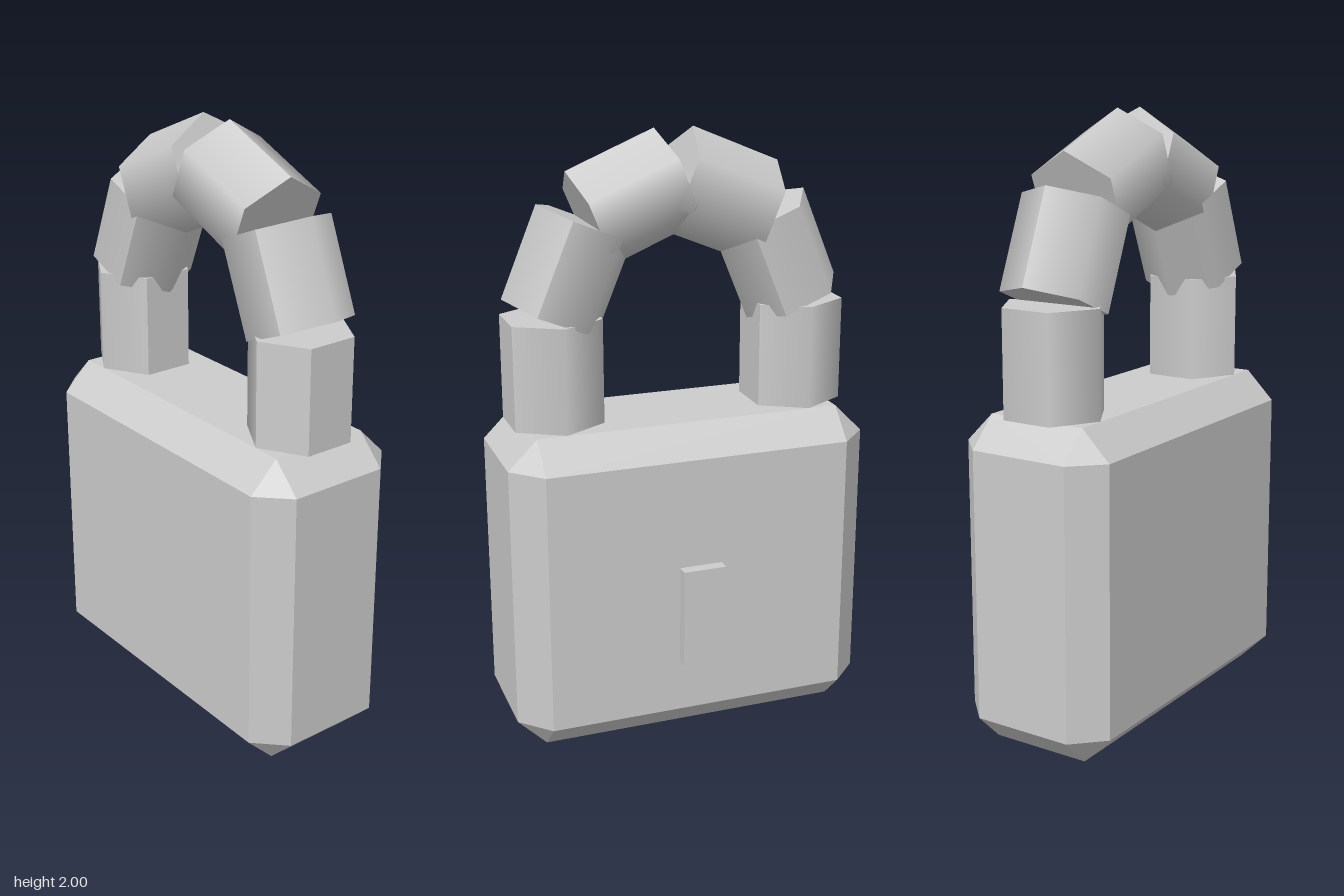
import * as THREE from 'three';
import { ConvexGeometry } from 'three/addons/geometries/ConvexGeometry.js';

const steel = new THREE.MeshStandardMaterial({ color: 0xcccccc });
steel.name = 'steel grey';

const MID_Z = 0.017;
const RADIUS = 0.17;

// Box with every edge bevelled and triangular corners
function chamferedBox(hx, hy, hz, c) {
  const points = [];
  for (const sx of [-1, 1]) for (const sy of [-1, 1]) for (const sz of [-1, 1]) {
    points.push(
      new THREE.Vector3(sx * hx, sy * (hy - c), sz * (hz - c)),
      new THREE.Vector3(sx * (hx - c), sy * hy, sz * (hz - c)),
      new THREE.Vector3(sx * (hx - c), sy * (hy - c), sz * hz));
  }
  return new ConvexGeometry(points);
}

// Six-sided bar, smooth except along the listed lengthwise edges (0 is +z, 1 is 60 degrees towards +x)
function hexBar(length, sharpEdges) {
  const bar = new THREE.CylinderGeometry(RADIUS, RADIUS, length, 6).toNonIndexed();
  const flat = bar.clone();
  flat.computeVertexNormals();
  const pos = bar.attributes.position, n = bar.attributes.normal, f = flat.attributes.normal;
  for (let i = 0; i < pos.count; i++) {
    if (Math.abs(n.getY(i)) > 0.5) continue;
    const edge = (Math.round(Math.atan2(pos.getX(i), pos.getZ(i)) / (Math.PI / 3)) + 6) % 6;
    if (sharpEdges.includes(edge)) n.setXYZ(i, f.getX(i), f.getY(i), f.getZ(i));
  }
  return bar;
}

export function createModel() {
  const model = new THREE.Group();
  model.name = 'padlock';

  function add(name, geometry, x, y, z, parent = model) {
    const mesh = new THREE.Mesh(geometry, steel);
    mesh.name = name;
    mesh.position.set(x, y, z);
    parent.add(mesh);
    return mesh;
  }

  // Lock body and the raised keyhole plate on its back
  add('lockBody', chamferedBox(0.61, 0.54, 0.268, 0.097), 0, 0.54, MID_Z);
  add('keyholePlate', new THREE.BoxGeometry(0.145, 0.34, 0.05), 0, 0.445, -0.265);

  const shackle = new THREE.Group();
  shackle.name = 'shackle';
  model.add(shackle);

  // Upright posts
  add('leftPost', hexBar(0.345, [0, 1, 2]), 0.414, 1.2525, MID_Z, shackle);
  add('rightPost', hexBar(0.345, [1, 2]), -0.417, 1.2525, MID_Z, shackle);

  // Four straight bars around the arch, each with one ridge facing outwards
  const arch = [
    ['leftLowerLink', 22.5, 0.355, 1.574, [1, 5]],
    ['leftUpperLink', 67.5, 0.146, 1.784, [0]],
    ['rightUpperLink', 112.5, -0.146, 1.784, [0]],
    ['rightLowerLink', 157.5, -0.355, 1.574, [0, 2, 4]],
  ];
  for (const [name, angle, x, y, sharp] of arch) {
    const link = add(name, hexBar(0.315, sharp).rotateY(Math.PI / 2), x, y, MID_Z, shackle);
    link.rotation.z = THREE.MathUtils.degToRad(angle);
  }

  return model;
}
